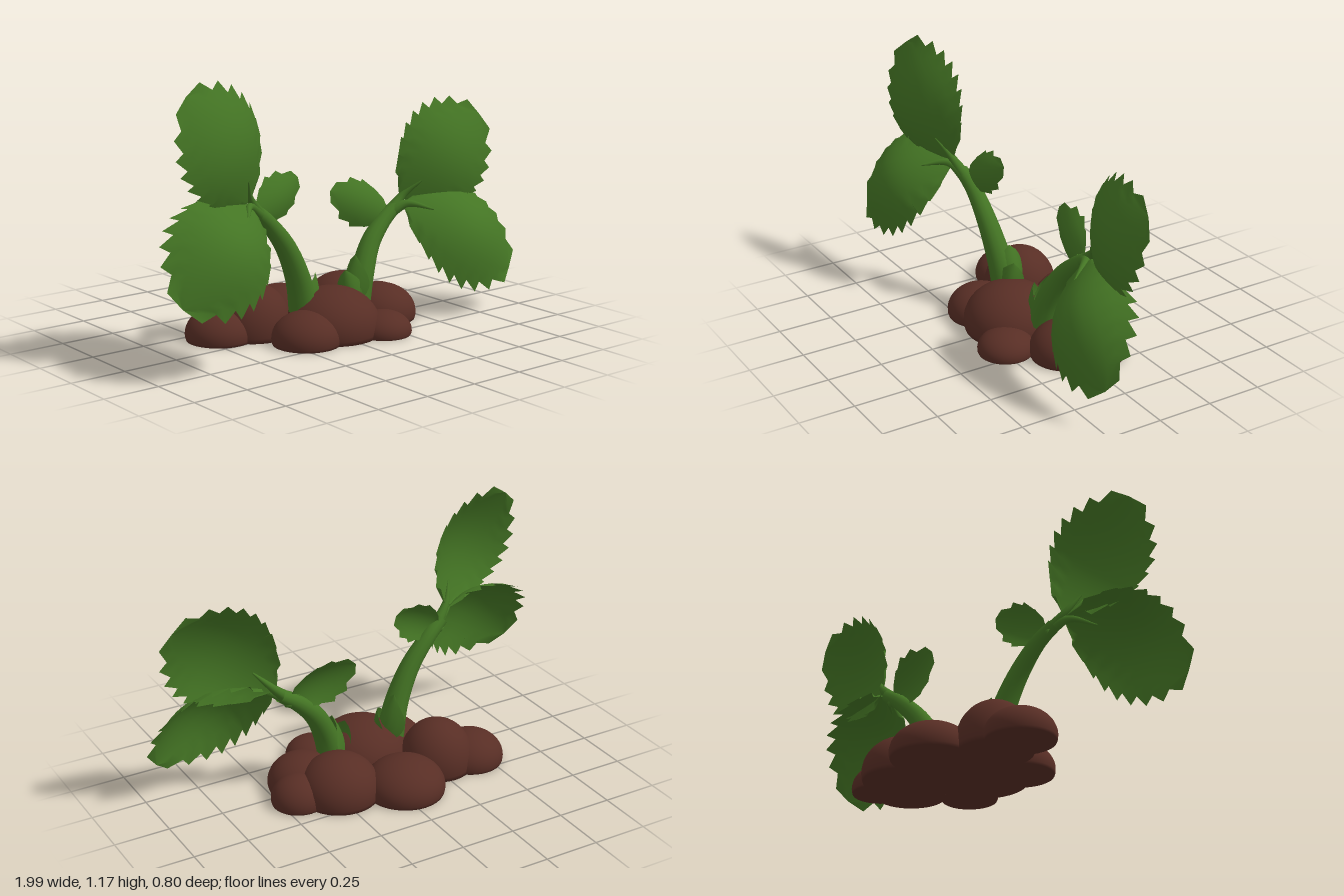
import * as THREE from 'three';

const V = (a) => new THREE.Vector3(...a);

// Leaf surface: point at u along the blade and v across it, cupped and arched
function leafSurface(base, tip, facing, { width, arch, cup, round }) {
  const axis = tip.clone().sub(base), length = axis.length();
  const side = facing.clone().cross(axis).setLength(length * width);
  const normal = axis.clone().cross(side).setLength(length);
  return (u, v, along = u) => {
    const q = v * Math.pow(Math.max(Math.sin(Math.PI * Math.pow(u, 1.07)), 0), round);
    const lift = arch * Math.sin(Math.PI * u) - cup * q * q;
    return base.clone().addScaledVector(axis, along).addScaledVector(side, q).addScaledVector(normal, lift);
  };
}

// Leaf blade with forward-swept teeth along its rim; jag 0 leaves the rim smooth
function leafGeometry(surface, { teeth, jag }) {
  const rows = teeth * 2, cols = 8, pos = [], idx = [];
  for (let i = 0; i <= rows; i++) {
    for (let j = 0; j <= cols; j++) {
      const u = i / rows;
      let v = (j / cols) * 2 - 1, along = u;
      if (Math.abs(v) === 1 && i > 0 && i < rows) {
        const point = i % 2 === 1;
        v *= 1 + jag * (point ? 0.06 : -0.07);
        along += jag * (point ? 0.045 : -0.015);
      }
      const p = surface(u, v, along);
      pos.push(p.x, p.y, p.z);
      if (i < rows && j < cols) {
        const a = i * (cols + 1) + j, c = a + cols + 1;
        idx.push(a, a + 1, c, a + 1, c + 1, c);
      }
    }
  }
  const g = new THREE.BufferGeometry();
  g.setAttribute('position', new THREE.Float32BufferAttribute(pos, 3));
  g.setIndex(idx);
  g.computeVertexNormals();
  return g;
}

// Tube whose radius shrinks from r0 to r1
function taperedTube(curve, r0, r1) {
  const segs = 20, radial = 12;
  const g = new THREE.TubeGeometry(curve, segs, r0, radial);
  const p = g.attributes.position, v = new THREE.Vector3();
  for (let i = 0; i <= segs; i++) {
    const c = curve.getPointAt(i / segs), k = 1 + (r1 / r0 - 1) * (i / segs);
    for (let j = 0; j <= radial; j++) {
      const m = i * (radial + 1) + j;
      v.fromBufferAttribute(p, m).sub(c).multiplyScalar(k).add(c);
      p.setXYZ(m, v.x, v.y, v.z);
    }
  }
  return g;
}

// Soil clump: a squashed ball with a flat underside
function clumpGeometry(radius, top) {
  const g = new THREE.SphereGeometry(1, 32, 24);
  const p = g.attributes.position, n = g.attributes.normal;
  const mid = top * 0.22, rise = top - mid;
  for (let i = 0; i < p.count; i++) {
    const x = p.getX(i), y = p.getY(i), z = p.getZ(i);
    const height = mid + y * rise;
    const normal = height < 0.008
      ? new THREE.Vector3(0, -1, 0)
      : new THREE.Vector3(x / radius, y / rise, z / radius).normalize();
    n.setXYZ(i, normal.x, normal.y, normal.z);
    p.setXYZ(i, x * radius, Math.max(height, 0.006), z * radius);
  }
  return g;
}

const LEAF_KINDS = {
  upperLeaf: { width: 0.42, arch: 0.165, cup: 0.12, teeth: 9, jag: 1, round: 0.6, facing: [0.25, 0.1, 1] },
  lowerLeaf: { width: 0.39, arch: 0.235, cup: 0.19, teeth: 9, jag: 1, round: 0.6, facing: [0, 0.54, 1] },
  smallLeaf: { width: 0.31, arch: 0.08, cup: 0.12, teeth: 5, jag: 1, round: 0.75, facing: [0, 0.15, 1] },
};
const SHEATH = { width: 0.3, arch: 0.1, cup: 0.25, teeth: 5, jag: 0, round: 0.8 };

// Each leaf is given as [base, tip]
const RIGHT_SPROUT = {
  stem: [[-0.12, 0.12, 0.05], [-0.16, 0.27, 0.065], [-0.24, 0.43, 0.08], [-0.34, 0.55, 0.09], [-0.42, 0.615, 0.105]],
  upperLeaf: [[-0.455, 0.66, 0.125], [-0.795, 1.13, 0.17]],
  lowerLeaf: [[-0.455, 0.645, 0.125], [-0.935, 0.325, 0.335]],
  smallLeaf: [[-0.41, 0.575, 0.09], [-0.145, 0.715, 0.045]],
};
const LEFT_SPROUT = {
  stem: [[0.18, 0.1, 0.05], [0.22, 0.23, 0.04], [0.29, 0.36, 0.015], [0.38, 0.45, 0], [0.46, 0.505, -0.005]],
  upperLeaf: [[0.48, 0.535, -0.01], [0.925, 0.885, 0.035]],
  lowerLeaf: [[0.475, 0.515, 0.015], [0.945, 0.185, 0.235]],
  smallLeaf: [[0.43, 0.455, -0.01], [0.125, 0.6, -0.07]],
};

// Soil clumps: x, z, radius, height
const CLUMPS = [
  [-0.03, -0.23, 0.18, 0.165], [-0.43, -0.14, 0.152, 0.15], [-0.27, -0.11, 0.165, 0.235],
  [0.24, -0.12, 0.18, 0.205], [0.42, -0.08, 0.122, 0.135], [0.34, 0.03, 0.158, 0.165],
  [0.18, 0.235, 0.125, 0.11], [0, 0.1, 0.212, 0.22], [-0.18, 0.15, 0.152, 0.15],
];

export function createModel() {
  const model = new THREE.Group();
  model.name = 'seedlings';
  const green = new THREE.MeshStandardMaterial({ color: 0x447524, side: THREE.DoubleSide });
  green.name = 'leaf green';
  const brown = new THREE.MeshStandardMaterial({ color: 0x582e25 });
  brown.name = 'soil brown';

  const addGroup = (name) => {
    const group = new THREE.Group();
    group.name = name;
    model.add(group);
    return group;
  };
  const addMesh = (parent, name, geometry, material) => {
    const mesh = new THREE.Mesh(geometry, material);
    mesh.name = name;
    parent.add(mesh);
    return mesh;
  };

  // Soil mound
  const soil = addGroup('soil');
  for (const [x, z, radius, top] of CLUMPS) {
    addMesh(soil, 'soilClump', clumpGeometry(radius, top), brown).position.set(x, 0, z);
  }

  // A stem with three stalked leaves; inward is the x direction towards the middle
  const addSprout = (name, spec, inward) => {
    const group = addGroup(name);
    const stem = new THREE.CatmullRomCurve3(spec.stem.map(V));
    addMesh(group, 'stem', taperedTube(stem, 0.064, 0.03), green);

    for (const [kind, shape] of Object.entries(LEAF_KINDS)) {
      const [base, tip] = spec[kind].map(V);
      const facing = V(shape.facing);
      facing.x *= inward;
      const surface = leafSurface(base, tip, facing, shape);
      addMesh(group, kind, leafGeometry(surface, shape), green);

      // Stalk runs from the stem and melts into the blade
      const stalk = new THREE.CatmullRomCurve3([stem.getPoint(0.88), surface(0.03, 0), surface(0.2, 0)]);
      addMesh(group, 'leafStalk', taperedTube(stalk, 0.03, 0.004), green);
    }

    // Pointed sheaths hugging the foot of the stem
    const foot = stem.getPoint(0);
    const addSheath = (from, to, facing) => {
      const [start, end] = [from, to].map(([x, y, z]) => foot.clone().add(new THREE.Vector3(x * inward, y, z)));
      addMesh(group, 'baseSheath', leafGeometry(leafSurface(start, end, facing, SHEATH), SHEATH), green);
    };
    addSheath([0.05, -0.04, -0.01], [-0.01, 0.22, -0.02], new THREE.Vector3(inward, 0, 0));
    addSheath([0.04, -0.03, 0.03], [0.065, 0.165, 0], new THREE.Vector3(inward, 0, 0.8));
  };
  addSprout('rightSprout', RIGHT_SPROUT, 1);
  addSprout('leftSprout', LEFT_SPROUT, -1);
  return model;
}
